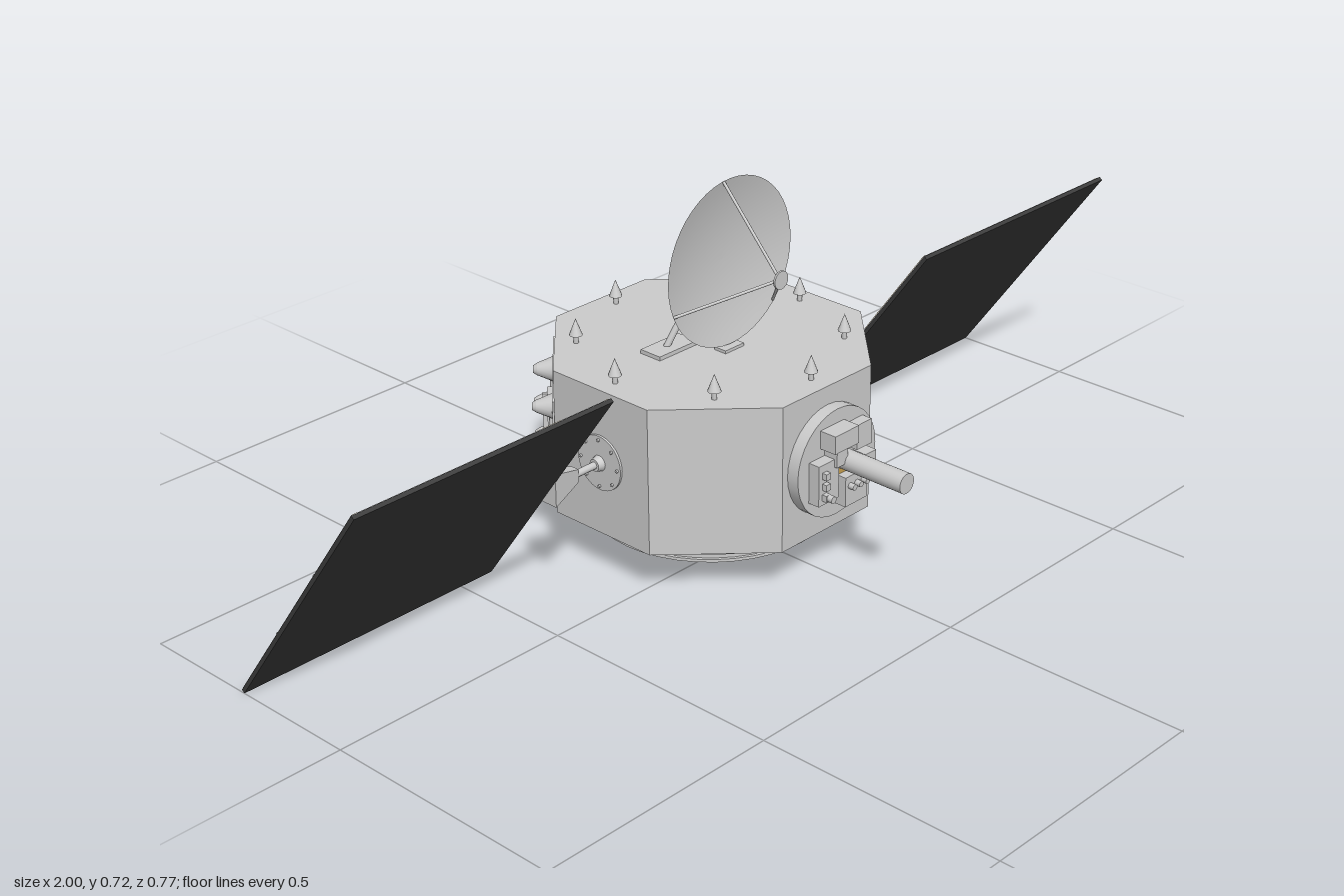
import * as THREE from 'three';

const CZ = -0.0925;          // body axis in z
const AP = 0.2925;           // octagon apothem
const grey = new THREE.MeshStandardMaterial({ color: 0xcccccc });
const flat = new THREE.MeshStandardMaterial({ color: 0xcccccc, flatShading: true });
const thin = new THREE.MeshStandardMaterial({ color: 0xcccccc, side: THREE.DoubleSide });
const dark = new THREE.MeshStandardMaterial({ color: 0x3c3c3c });
const seam = new THREE.MeshStandardMaterial({ color: 0x909090 });
const gold = new THREE.MeshStandardMaterial({ color: 0xc79f4f });

function add(parent, name, geo, mat, x = 0, y = 0, z = 0) {
  const m = new THREE.Mesh(geo, mat);
  m.name = name;
  m.position.set(x, y, z);
  parent.add(m);
  return m;
}
const box = (w, h, d) => new THREE.BoxGeometry(w, h, d);
const cyl = (rt, rb, h, n = 16) => new THREE.CylinderGeometry(rt, rb, h, n);
const cylZ = (rFront, rBack, h, n) => cyl(rFront, rBack, h, n).rotateX(Math.PI / 2);
const V = (x, y, z) => new THREE.Vector3(x, y, z);

function rod(parent, name, a, b, r, n = 8) {
  const m = add(parent, name, cyl(r, r, a.distanceTo(b), n), grey);
  m.position.copy(a).add(b).multiplyScalar(0.5);
  m.quaternion.setFromUnitVectors(V(0, 1, 0), b.clone().sub(a).normalize());
}

// Octagonal bus and the hollow ring below it
function buildBody(g) {
  const R = AP / Math.cos(Math.PI / 8);
  add(g, 'body', cyl(R, R, 0.295, 8).rotateY(Math.PI / 8), flat, 0, 0.2375, CZ);

  const profile = [[0.21, 0.09], [0.21, 0.038], [0.232, 0.038], [0.232, 0.044], [0.226, 0.044],
    [0.226, 0.054], [0.232, 0.054], [0.232, 0.06], [0.226, 0.06], [0.226, 0.08],
    [0.232, 0.08], [0.232, 0.086], [0.222, 0.09]].map(p => new THREE.Vector2(...p));
  const ringMat = new THREE.MeshStandardMaterial({ color: 0xcccccc, flatShading: true, side: THREE.DoubleSide });
  add(g, 'adapterRing', new THREE.LatheGeometry(profile, 40), ringMat, 0, 0, CZ);
  add(g, 'ringFloor', cyl(0.21, 0.21, 0.006, 40), dark, 0, 0.088, CZ);

  // Paired small thrusters inside the ring
  for (let i = 0; i < 4; i++) {
    const a = Math.PI / 4 + i * Math.PI / 2;
    for (const s of [-0.1, 0.1]) {
      add(g, 'ringThruster', cyl(0.007, 0.012, 0.053, 10), grey,
        Math.sin(a + s) * 0.165, 0.0615, CZ + Math.cos(a + s) * 0.165);
    }
  }
}

// Eight pointed antennas around the roof
function buildSpikes(g) {
  for (let i = 0; i < 8; i++) {
    const s = new THREE.Group();
    s.name = 'roofAntenna';
    s.position.set(Math.sin(i * Math.PI / 4) * 0.252, 0.385, CZ + Math.cos(i * Math.PI / 4) * 0.252);
    add(s, 'antennaStem', cyl(0.005, 0.005, 0.018, 8), grey, 0, 0.009, 0);
    add(s, 'antennaTip', cyl(0, 0.013, 0.034, 12), grey, 0, 0.033, 0);
    g.add(s);
  }
}

// Dish with feed, tripod and stand
function buildDish(g) {
  const dish = new THREE.Group();
  dish.name = 'dish';
  const pts = [];
  for (let i = 0; i <= 10; i++) pts.push(new THREE.Vector2(0.165 * i / 10, 0.022 * (i / 10) ** 2));
  add(dish, 'reflector', new THREE.LatheGeometry(pts, 48).rotateX(Math.PI / 2), thin, 0, 0.56, -0.062);
  add(dish, 'feed', cylZ(0.018, 0.018, 0.004, 16), grey, 0, 0.56, 0.084);
  for (const deg of [96, 203, 316]) {
    const a = THREE.MathUtils.degToRad(deg);
    rod(dish, 'feedStrut', V(Math.cos(a) * 0.163, 0.56 + Math.sin(a) * 0.163, -0.041), V(0, 0.56, 0.082), 0.003);
  }
  add(dish, 'hub', box(0.018, 0.015, 0.034), grey, 0, 0.56, -0.079);
  for (const s of [-1, 1]) {
    rod(dish, 'standLeg', V(0, 0.555, -0.088), V(s * 0.085, 0.39, -0.125), 0.0065);
    add(dish, 'standFoot', box(0.1, 0.008, 0.05), grey, s * 0.08, 0.389, -0.123);
  }
  add(dish, 'frontFoot', box(0.05, 0.006, 0.028), grey, 0, 0.388, -0.044);
  g.add(dish);
}

// Instrument drum on the front face
function buildInstruments(g) {
  const f = new THREE.Group();
  f.name = 'instruments';
  add(f, 'drum', cylZ(0.108, 0.108, 0.025, 32), grey, 0, 0.24, 0.2125);
  add(f, 'telescope', cylZ(0.02, 0.02, 0.16, 24), grey, 0.006, 0.249, 0.305);
  add(f, 'telescopeCollar', cylZ(0.025, 0.025, 0.01, 24), gold, 0.006, 0.24, 0.23);
  const units = [ // x, y, width, height, depth
    [-0.015, 0.302, 0.065, 0.036, 0.036], [-0.05, 0.225, 0.055, 0.082, 0.024],
    [0.02, 0.19, 0.06, 0.06, 0.03], [0.05, 0.285, 0.04, 0.05, 0.022],
    [0.06, 0.23, 0.03, 0.035, 0.03], [-0.02, 0.265, 0.03, 0.03, 0.03]];
  for (const [x, y, w, h, d] of units) add(f, 'instrumentBox', box(w, h, d), grey, x, y, 0.225 + d / 2);
  for (let i = 0; i < 3; i++) {
    add(f, 'sensorBlock', box(0.012, 0.013, 0.012), grey, -0.062, 0.2 + i * 0.022, 0.253);
    add(f, 'sensorCap', cylZ(0.006, 0.006, 0.014, 10), grey, 0.003 + i * 0.018, 0.2, 0.26);
  }
  add(f, 'sensorPost', cylZ(0.007, 0.007, 0.045, 10), grey, -0.06, 0.2, 0.248);
  g.add(f);
}

// Solar wing on side s, with its hinge disc and arm
function buildWing(g, s) {
  const w = new THREE.Group();
  w.name = s > 0 ? 'leftWing' : 'rightWing';
  const Y = 0.2385;
  const alongX = geo => geo.rotateZ(-s * Math.PI / 2);
  add(w, 'hingeDisc', alongX(cyl(0.055, 0.055, 0.005, 32)), grey, s * 0.2945, Y, CZ);
  for (let i = 0; i < 8; i++) {
    const a = i * Math.PI / 4;
    add(w, 'hingeBolt', alongX(cyl(0.003, 0.003, 0.005, 6)), grey, s * 0.2985, Y + Math.sin(a) * 0.047, CZ + Math.cos(a) * 0.047);
  }
  add(w, 'hingeBoss', alongX(cyl(0.012, 0.016, 0.014, 12)), grey, s * 0.303, Y, CZ);
  add(w, 'arm', alongX(cyl(0.007, 0.007, 0.07, 12)), grey, s * 0.33, Y, CZ);
  // Flared bracket, narrow toward the body
  const bracket = alongX(new THREE.CylinderGeometry(0.047, 0.018, 0.07, 4).rotateY(Math.PI / 4));
  const b = add(w, 'bracket', bracket, flat, s * 0.392, Y, CZ);
  b.scale.z = 0.65;

  const p = new THREE.Group();
  p.name = 'solarPanel';
  p.position.set(s * 0.7125, 0.2365, CZ);
  p.rotation.x = -0.942;
  add(p, 'cells', box(0.575, 0.008, 0.577), dark, 0, -0.001, 0);
  add(p, 'backing', box(0.569, 0.002, 0.571), grey, 0, 0.004, 0);
  const strip = (name, mat, x, z, w2, d) => add(p, name, box(w2, 0.001, d), mat, s * (x - 0.7125), 0.0052, z);
  strip('goldBand', gold, 0.565, 0, 0.06, 0.569);
  strip('goldEdge', gold, 0.432, 0, 0.008, 0.569);
  strip('goldEdge', gold, 0.99, 0, 0.01, 0.569);
  for (const t of [0.05, 0.3, 0.65, 0.95]) strip('goldPatch', gold, 0.872, 0.2885 - 0.577 * t, 0.02, 0.026);
  for (const k of [-1, 1]) strip('panelSeam', seam, 0.7125, k * 0.096, 0.569, 0.005).position.y = 0.0056;
  w.add(p);
  g.add(w);
}

// Thruster bank on a rear diagonal face; local z points outward
function buildThrusters(g, s) {
  const b = new THREE.Group();
  b.name = 'thrusterBank';
  b.position.set(s * AP * Math.SQRT1_2, 0, CZ - AP * Math.SQRT1_2);
  b.rotation.y = s * Math.PI * 0.75;
  // Slanted backing plate; positive u runs toward the rear
  const plate = new THREE.Shape([[-0.112, 0.098], [0.045, 0.158], [0.045, 0.378], [-0.112, 0.316]]
    .map(([u, y]) => new THREE.Vector2(s * u, y)));
  add(b, 'thrusterPlate', new THREE.ExtrudeGeometry(plate, { depth: 0.005, bevelEnabled: false }), grey, 0, 0, -0.001);
  for (const [u, y0] of [[-0.068, 0.15], [0.018, 0.186]]) {
    for (let i = 0; i < 3; i++) {
      const y = y0 + i * 0.0685;
      add(b, 'thruster', cylZ(0.012, 0.024, 0.03, 16), grey, s * u, y, 0.02);
      add(b, 'thrusterCap', cylZ(0.007, 0.012, 0.008, 16), grey, s * u, y, 0.039);
    }
    rod(b, 'thrusterPipe', V(s * u, y0, 0.008), V(s * u, y0 + 0.137, 0.008), 0.004);
  }
  add(b, 'valveBlock', box(0.034, 0.12, 0.012), grey, s * -0.025, 0.238, 0.01);
  add(b, 'valveRail', box(0.01, 0.11, 0.01), grey, s * -0.025, 0.238, 0.02);
  g.add(b);
}

export function createModel() {
  const g = new THREE.Group();
  g.name = 'satellite';
  buildBody(g);
  buildSpikes(g);
  buildDish(g);
  buildInstruments(g);
  for (const s of [1, -1]) {
    buildWing(g, s);
    buildThrusters(g, s);
  }
  return g;
}
